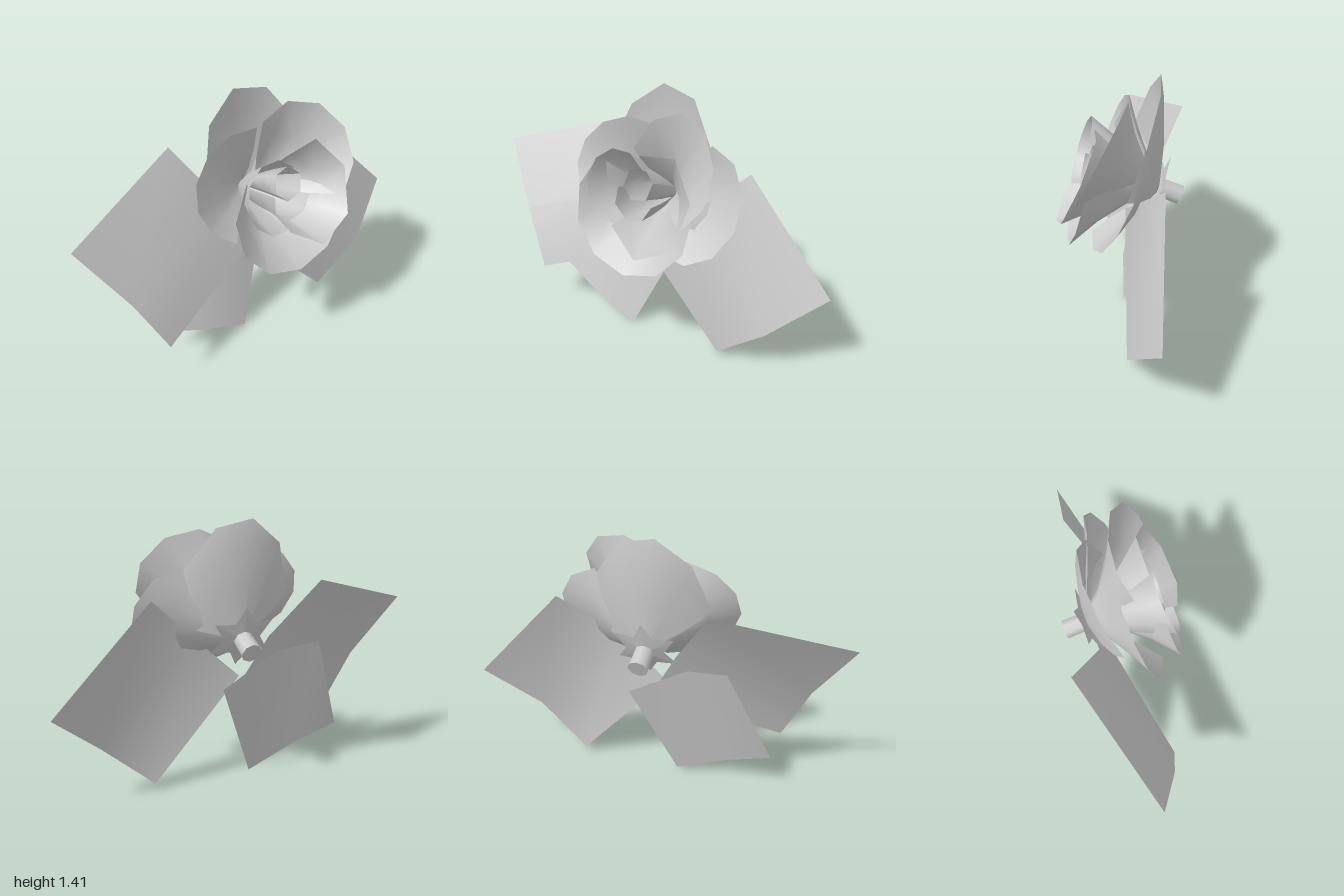
import * as THREE from 'three';

const V = (p) => new THREE.Vector3(...p);
const sheet = new THREE.MeshStandardMaterial({ color: 0xcccccc, side: THREE.DoubleSide });
const solid = new THREE.MeshStandardMaterial({ color: 0xcccccc });

// The flower grows from the base along a slightly raised forward axis
const base = new THREE.Vector3(0.03, 0.83, -0.19);
const axis = new THREE.Vector3(0, 0.3, 0.95).normalize();

// Smooth sheet through rows of points; every row has the same length
function loft(name, rows) {
  const n = rows[0].length, index = [];
  for (let r = 0; r < rows.length - 1; r++) {
    for (let i = 0; i < n - 1; i++) {
      const a = r * n + i, b = a + n;
      index.push(a, a + 1, b + 1, a, b + 1, b);
    }
  }
  const geo = new THREE.BufferGeometry().setFromPoints(rows.flat());
  geo.setIndex(index);
  geo.computeVertexNormals();
  const mesh = new THREE.Mesh(geo, sheet);
  mesh.name = name;
  return mesh;
}

// Part of a rim point's offset that is square to the flower axis
function radial(p) {
  const d = p.clone().sub(base);
  return d.addScaledVector(axis, -d.dot(axis)).normalize();
}

// Rim: arc of an ellipse lying in a plane that leans by the slopes sx and sy
function arcRim([x, y, z], [rx, ry], [from, to, count], [sx, sy]) {
  return Array.from({ length: count }, (_, i) => {
    const a = THREE.MathUtils.degToRad(from + (to - from) * i / (count - 1));
    const dx = rx * Math.cos(a), dy = ry * Math.sin(a);
    return new THREE.Vector3(x + dx, y + dy, z + sx * dx + sy * dy);
  });
}

// Petal: rim joined to the base; positive bulge cups it, negative bulge flares it
function petal(name, bulge, ...arc) {
  const rim = arcRim(...arc);
  const rows = [0, 0.35, 0.7, 1].map((t) => rim.map((p) => {
    const out = radial(p);
    const root = base.clone().addScaledVector(out, 0.04);
    return root.lerp(p, t).addScaledVector(out, bulge * Math.sin(Math.PI * t));
  }));
  return loft(name, rows);
}

// Leaf: three points at the inner edge, three at the outer edge
const leaf = (name, inner, outer) => loft(name, [inner.map(V), outer.map(V)]);

export function createModel() {
  const model = new THREE.Group();
  model.name = 'rose';

  // Petals, outermost first: bulge, centre, radii, arc in degrees with point count, slopes
  model.add(
    petal('backPetal', 0.06, [0.03, 0.97, -0.05], [0.31, 0.455], [-8, 172, 6], [0, -0.33]),
    petal('upperRightPetal', -0.03, [-0.07, 1, 0.05], [0.33, 0.27], [75, 240, 7], [0, -0.37]),
    petal('upperLeftPetal', -0.06, [0.21, 1.1, 0.1], [0.26, 0.26], [-55, 170, 7], [0.18, -0.5]),
    petal('lowerLeftPetal', -0.02, [0.3, 0.92, 0.02], [0.25, 0.28], [85, -115, 7], [-0.12, -0.45]),
    petal('frontPetal', -0.05, [0.06, 0.88, 0.2], [0.34, 0.32], [135, 372, 8], [-0.03, -0.26]),
    petal('innerLeftPetal', -0.02, [0.18, 0.96, 0.22], [0.22, 0.25], [-148, 125, 6], [0, -0.44]),
    petal('innerRightPetal', 0.01, [-0.04, 1, 0.2], [0.17, 0.18], [37, 285, 8], [-0.05, -0.33]),
    petal('smallPetal', 0.01, [0.06, 0.94, 0.19], [0.11, 0.1], [-210, 0, 5], [0, -0.2]),
    petal('bud', 0.01, [0.065, 1.02, 0.15], [0.085, 0.085], [17, 377, 7], [0, -0.35]));

  // Leaves, each creased along the middle
  model.add(
    leaf('rightLeaf',
      [[-0.33, 1.12, -0.34], [-0.13, 0.81, -0.17], [0.03, 0.52, -0.11]],
      [[-1, 0.92, -0.07], [-0.79, 0.58, 0.06], [-0.64, 0.26, 0.12]]),
    leaf('leftLeaf',
      [[0.5, 1.06, -0.195], [0.24, 0.82, -0.02], [-0.03, 0.57, -0.03]],
      [[0.995, 0.53, -0.165], [0.73, 0.28, -0.02], [0.455, 0.04, -0.035]]),
    leaf('lowerLeaf',
      [[-0.4, 0.77, -0.22], [-0.18, 0.72, -0.155], [0.127, 0.56, -0.18]],
      [[-0.62, 0.215, -0.06], [-0.38, 0.119, -0.02], [-0.095, 0.005, -0.02]]));

  // Stem and star-shaped calyx share one tilted frame: local y points forward
  const back = new THREE.Group();
  back.name = 'flowerBack';
  back.position.set(0.03, 0.82, -0.21);
  back.quaternion.setFromUnitVectors(new THREE.Vector3(0, 1, 0), new THREE.Vector3(0, 0.4, 0.92).normalize());

  const stem = new THREE.Mesh(new THREE.CylinderGeometry(0.05, 0.053, 0.11, 8), solid);
  stem.name = 'stem';
  stem.position.y = -0.05;
  back.add(stem);

  const inner = [], rim = [];
  const sepals = 6;
  for (let i = 0; i <= sepals * 2; i++) {
    const a = i * Math.PI / sepals, tip = i % 2 === 0;
    const r = tip ? 0.18 : 0.1;
    inner.push(new THREE.Vector3(0, 0, 0));
    rim.push(new THREE.Vector3(r * Math.sin(a), tip ? 0.03 : 0.02, r * Math.cos(a)));
  }
  back.add(loft('calyx', [inner, rim]));
  model.add(back);

  return model;
}
